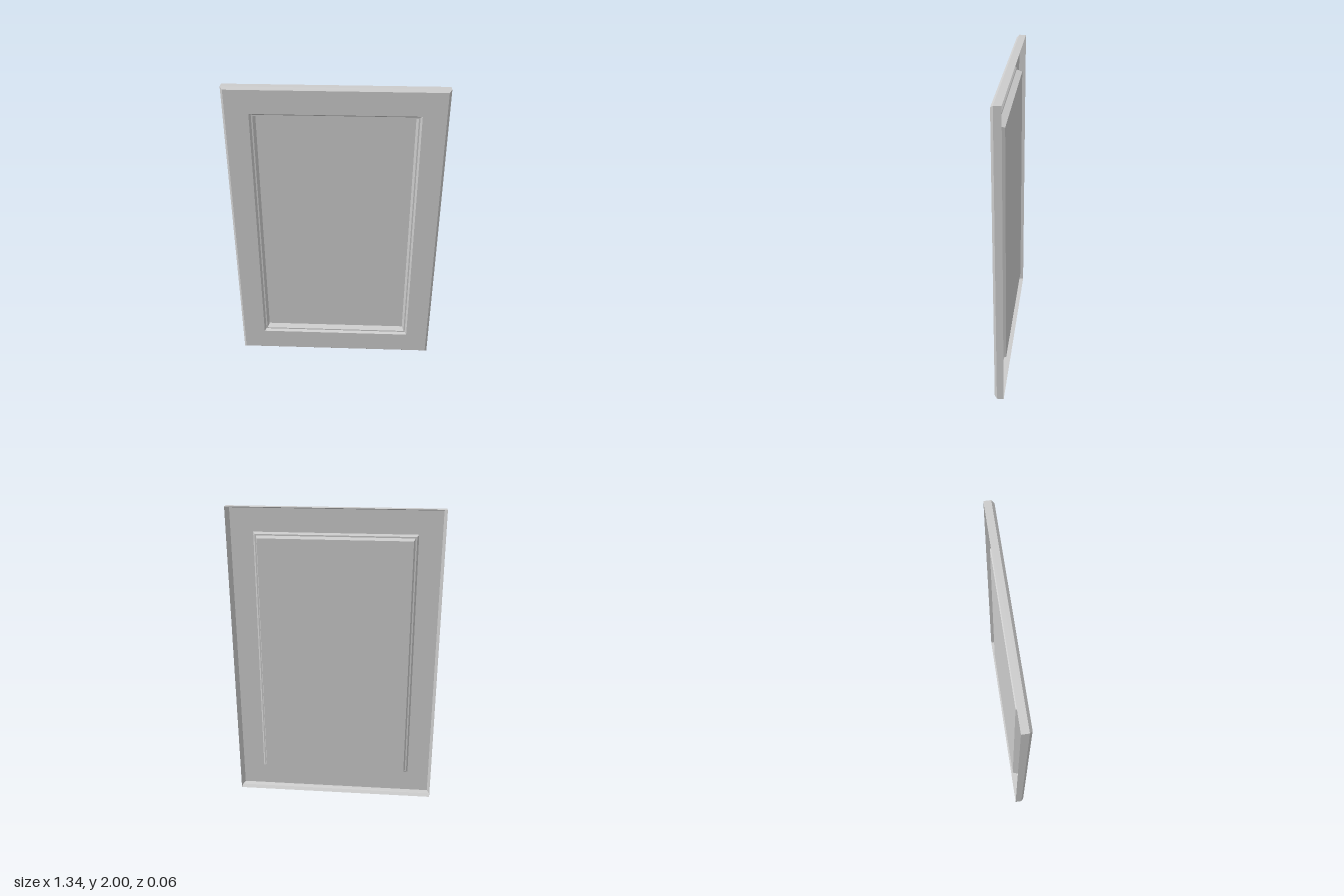
import * as THREE from 'three';

// Open-backed sheet, so both faces show
const material = new THREE.MeshStandardMaterial({ color: 0xcccccc, flatShading: true, side: THREE.DoubleSide });
const CENTRE_Y = 1;

// Four corners of a rectangle [half width, half height, z], counter-clockwise from the front
const corners = ([w, h, z]) =>
  [[-1, -1], [1, -1], [1, 1], [-1, 1]].map(([x, y]) => [x * w, CENTRE_Y + y * h, z]);

// Mitred strips joining a sequence of rectangles, outermost first
function mitredStrips(name, rects) {
  const positions = [];
  for (let k = 0; k < rects.length - 1; k++) {
    const a = corners(rects[k]);
    const b = corners(rects[k + 1]);
    for (let i = 0; i < 4; i++) {
      const j = (i + 1) % 4;
      positions.push(...a[i], ...a[j], ...b[j], ...a[i], ...b[j], ...b[i]);
    }
  }
  const geometry = new THREE.BufferGeometry();
  geometry.setAttribute('position', new THREE.Float32BufferAttribute(positions, 3));
  geometry.computeVertexNormals();
  const mesh = new THREE.Mesh(geometry, material);
  mesh.name = name;
  return mesh;
}

export function createModel() {
  const model = new THREE.Group();
  model.name = 'framedPanel';

  const back = [0.67, 1, -0.03];
  const chamferStart = [0.67, 1, 0.014];
  const faceOuter = [0.655, 0.985, 0.03];
  const faceInner = [0.512, 0.838, 0.03];
  const ledgeOuter = [0.501, 0.827, 0.014];
  const ledgeInner = [0.492, 0.818, 0.014];
  const panelEdge = [0.481, 0.808, -0.025];

  // Side walls and chamfered front edge
  model.add(mitredStrips('outerEdge', [back, chamferStart, faceOuter]));
  // Flat border
  model.add(mitredStrips('frameFace', [faceOuter, faceInner]));
  // Stepped moulding down to the recess
  model.add(mitredStrips('innerMoulding', [faceInner, ledgeOuter, ledgeInner, panelEdge]));

  // Recessed centre panel
  const panel = new THREE.Mesh(new THREE.PlaneGeometry(panelEdge[0] * 2, panelEdge[1] * 2), material);
  panel.name = 'recessedPanel';
  panel.position.set(0, CENTRE_Y, panelEdge[2]);
  model.add(panel);

  return model;
}
